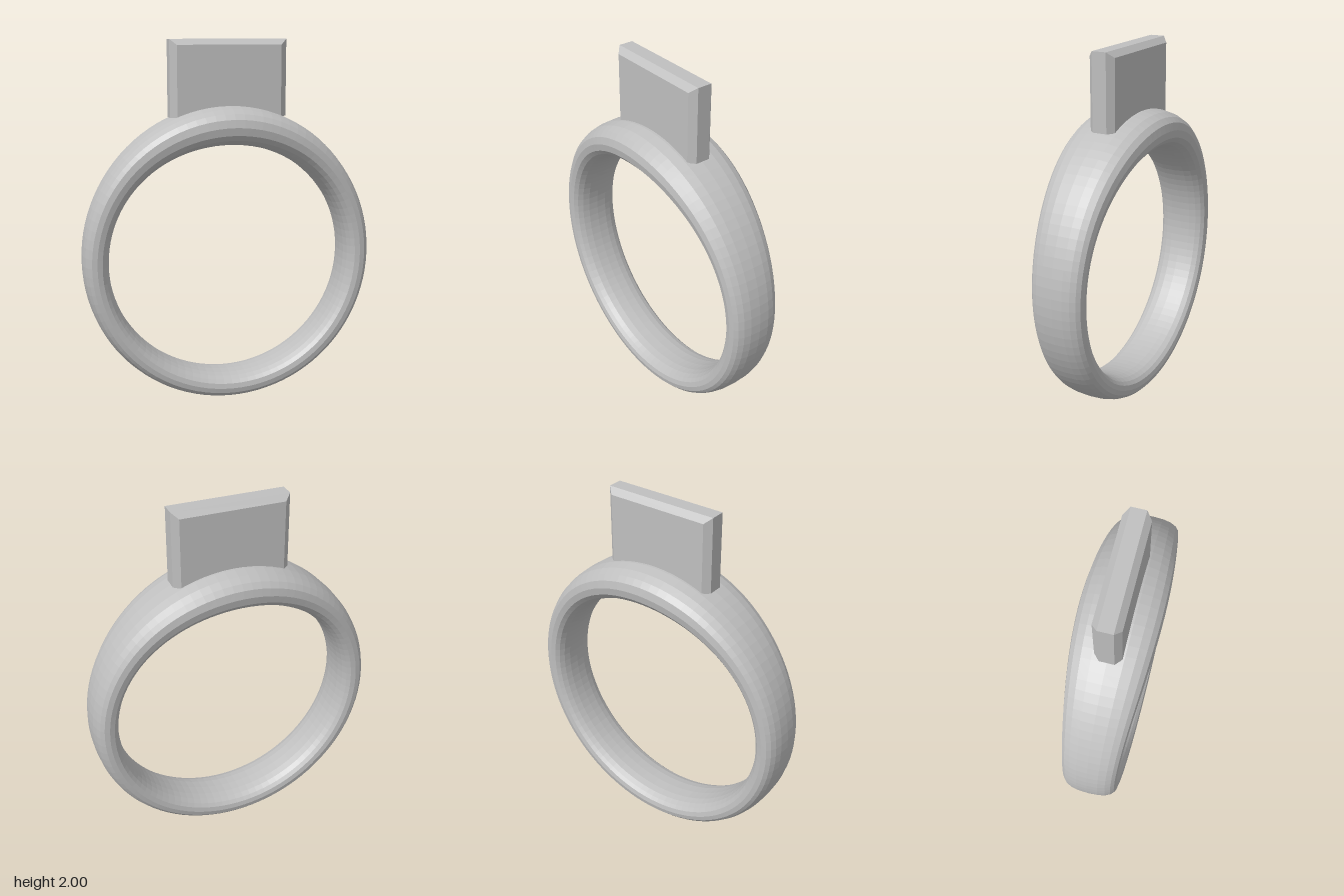
import * as THREE from 'three';
import { ConvexGeometry } from 'three/addons/geometries/ConvexGeometry.js';

// Superellipse power: gives the band its fuller, rounded cross-section
const soft = (t) => Math.sign(t) * Math.pow(Math.abs(t), 0.8);

// Band: a torus whose flattened section swells towards the top
function bandGeometry() {
  const R = 0.736, centerY = 0.807, halfThick = 0.07, halfWidth = 0.145;
  const geo = new THREE.TorusGeometry(1, 0.1, 20, 96);
  const pos = geo.attributes.position, uv = geo.attributes.uv;
  for (let i = 0; i < pos.count; i++) {
    const a = uv.getX(i) * Math.PI * 2;
    const b = uv.getY(i) * Math.PI * 2;
    const swell = Math.pow((1 + Math.sin(a)) / 2, 5);
    const r = R + halfThick * (1 + 0.54 * swell) * soft(Math.cos(b));
    const z = halfWidth * (1 + 0.5 * swell) * soft(Math.sin(b));
    pos.setXYZ(i, r * Math.cos(a), centerY + r * Math.sin(a), z);
  }
  const flat = geo.toNonIndexed(); // faceted normals
  flat.computeVertexNormals();
  return flat;
}

// Plate: upright slab, chamfered on its top and side edges, flat underneath
function plateGeometry() {
  const points = [];
  const layers = [[0.285, 1.97, 0.072], [0.32, 2.0, 0.04]];
  for (const [x, top, z] of layers)
    for (const sx of [-1, 1])
      for (const sz of [-1, 1])
        for (const y of [1.587, top])
          points.push(new THREE.Vector3(sx * x, y, sz * z));
  return new ConvexGeometry(points);
}

export function createModel() {
  const metal = new THREE.MeshStandardMaterial({ color: 0xbfbfbf });
  metal.name = 'grey metal';

  const model = new THREE.Group();
  model.name = 'ring';
  const add = (name, geometry) => {
    const mesh = new THREE.Mesh(geometry, metal);
    mesh.name = name;
    model.add(mesh);
  };
  add('band', bandGeometry());
  add('topPlate', plateGeometry());
  return model;
}
